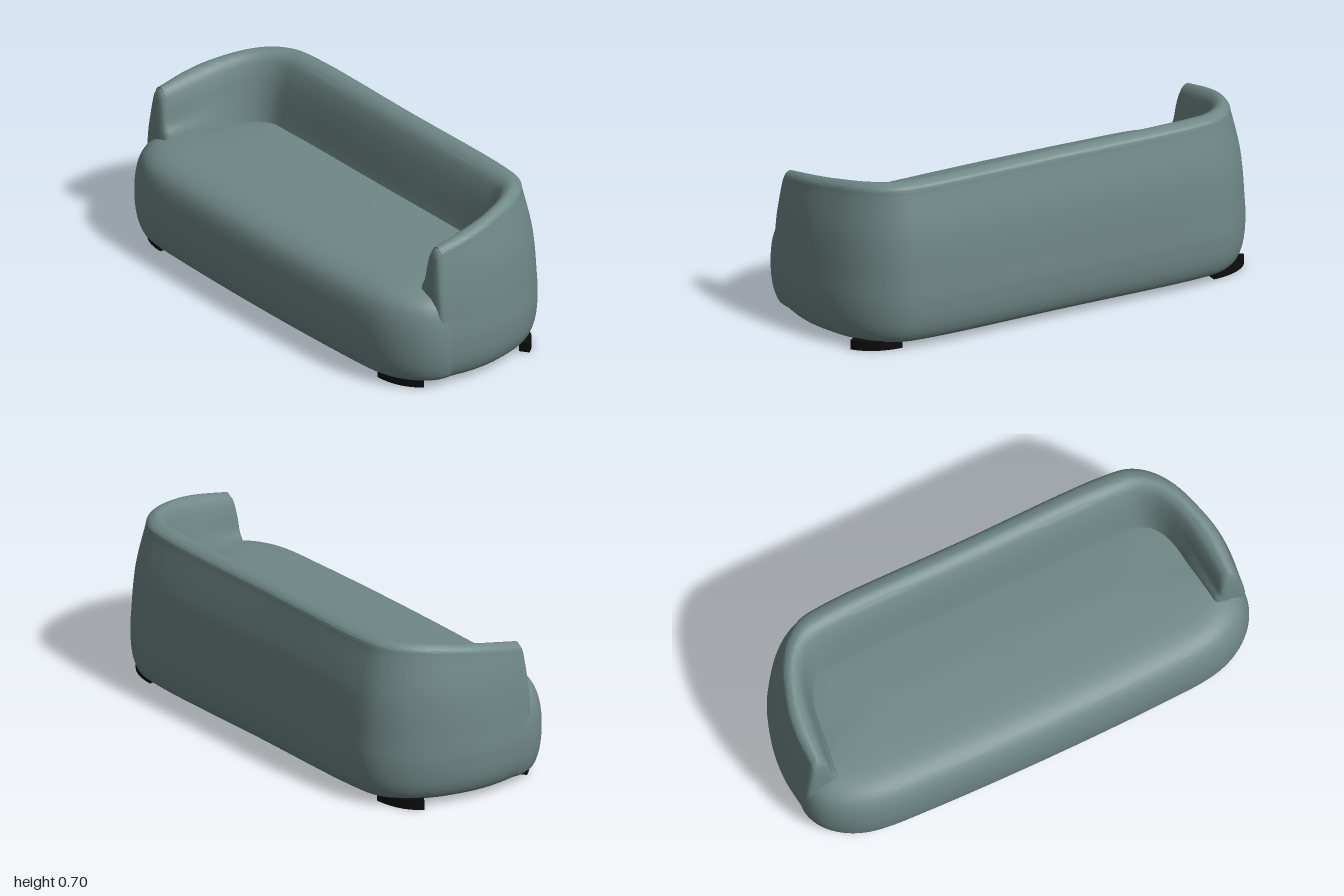
import * as THREE from 'three';
import { toCreasedNormals } from 'three/addons/utils/BufferGeometryUtils.js';

const V = (x, y, z) => new THREE.Vector3(x, y, z);
const spline = (points, closed = false) => new THREE.CatmullRomCurve3(points, closed, 'centripetal');

// Skins a list of closed rings that all have the same number of points.
function skin(rings) {
  const n = rings[0].length, index = [];
  for (let r = 0; r < rings.length - 1; r++) {
    for (let i = 0; i < n; i++) {
      const a = r * n + i, b = r * n + (i + 1) % n;
      const c = a + n, d = b + n;
      index.push(a, c, b, b, c, d);
    }
  }
  const geometry = new THREE.BufferGeometry().setFromPoints(rings.flat());
  geometry.setIndex(index);
  return toCreasedNormals(geometry, 0.75);
}

// Half of an outline, continued by its mirror image across x = 0.
const mirrored = (half) => [...half, ...half.slice(0, -1).reverse().map((p) => V(-p.x, p.y, p.z))];

// Seat: rounded outline, inset at each height towards a central spine.
function seatGeometry() {
  const front = mirrored([
    V(0.95, 0, 0.05), V(0.99, 0, 0.2), V(0.965, 0, 0.28), V(0.905, 0, 0.345),
    V(0.82, 0, 0.392), V(0.72, 0, 0.416), V(0.5, 0, 0.429), V(0, 0, 0.437),
  ]);
  const back = [V(-0.93, 0, -0.1), V(-0.8, 0, -0.35), V(-0.6, 0, -0.38),
    V(0.6, 0, -0.38), V(0.8, 0, -0.35), V(0.93, 0, -0.1)];
  const outline = spline([...front, ...back], true).getPoints(168).slice(0, -1);
  const spineOf = (p) => V(THREE.MathUtils.clamp(p.x, -0.55, 0.55), 0, 0);
  // profile: inset, height
  const profile = spline([
    [0.045, 0.035], [0.03, 0.047], [0.01, 0.1], [0, 0.2], [0.009, 0.3], [0.03, 0.355],
    [0.055, 0.381], [0.09, 0.399], [0.14, 0.411], [0.22, 0.418],
  ].map(([d, y]) => V(d, y, 0))).getPoints(36);
  const rings = profile.map(({ x: d, y }) => outline.map((p) => {
    const spine = spineOf(p), length = p.distanceTo(spine);
    return p.clone().lerp(spine, d / length).setY(y);
  }));
  const flat = (y) => outline.map((p) => spineOf(p).setY(y));
  return skin([flat(0.035), ...rings, flat(0.42)]);
}

// Backrest and arms: one section swept between an outer and an inner U.
function shellGeometry() {
  // outer U: x, top height, z
  const outer = spline(mirrored([
    V(0.987, 0.61, 0.205), V(1, 0.645, 0.05), V(0.985, 0.668, -0.08), V(0.93, 0.687, -0.24),
    V(0.85, 0.697, -0.35), V(0.75, 0.7, -0.415), V(0.62, 0.7, -0.435), V(0, 0.7, -0.435),
  ]));
  const inner = spline(mirrored([
    V(0.835, 0, 0.205), V(0.81, 0, 0.05), V(0.797, 0, -0.05), V(0.78, 0, -0.11),
    V(0.75, 0, -0.155), V(0.705, 0, -0.182), V(0.6, 0, -0.19), V(0, 0, -0.19),
  ]));

  const section = (t) => {
    const o = outer.getPoint(t), i = inner.getPoint(t);
    const h = o.y;
    o.y = i.y = 0;
    const width = o.distanceTo(i);
    const rim = 0.07 - (0.7 - h) * 0.3;
    const across = (f) => rim + (width - rim) * f;
    const points = spline([
      [0.045, 0.035], [0.03, 0.05], [0.01, 0.1], [0, 0.2], [0.005, 0.3], [0.012, 0.4],
      [0.025, 0.5], [rim - 0.007, h - 0.045], [rim, h - 0.018], [across(0.12), h - 0.004],
      [across(0.28), h], [across(0.5), h - 0.02], [across(0.66), h - 0.075],
      [across(0.78), h - 0.15], [across(0.92), 0.43], [width, 0.38],
    ].map(([d, y]) => V(d, y, 0))).getPoints(60);
    points.push(V(width, 0.035, 0));
    return points.map(({ x: d, y }) => o.clone().lerp(i, d / width).setY(y));
  };

  const steps = 140, rings = [];
  for (let k = 0; k <= steps; k++) rings.push(section(k / steps));

  // rounded front end of an arm
  const cap = (ring) => [[0.985, 0.01], [0.94, 0.02], [0.82, 0.027], [0.5, 0.03], [0, 0.03]].map(([s, out]) => {
    const centre = Math.sign(ring[0].x) * 0.91;
    return ring.map((p) => {
      const y = 0.35 + (p.y - 0.35) * s;
      return V(centre + (p.x - centre) * s, y, p.z + out - Math.max(y - 0.42, 0) * 0.06);
    });
  });
  return skin([...cap(rings[0]).reverse(), ...rings, ...cap(rings[steps])]);
}

// Foot: a short curved strip that follows the corner.
function footGeometry(sx, sz) {
  const shape = new THREE.Shape();
  shape.moveTo(sx * 0.72, sz * 0.355);
  shape.quadraticCurveTo(sx * 0.85, sz * 0.35, sx * 0.91, sz * 0.265);
  shape.lineTo(sx * 0.875, sz * 0.24);
  shape.quadraticCurveTo(sx * 0.82, sz * 0.305, sx * 0.72, sz * 0.305);
  shape.closePath();
  return new THREE.ExtrudeGeometry(shape, { depth: 0.04, bevelEnabled: false, curveSegments: 10 })
    .rotateX(Math.PI / 2)
    .translate(0, 0.04, 0);
}

export function createModel() {
  const model = new THREE.Group();
  model.name = 'sofa';
  const fabric = new THREE.MeshStandardMaterial({ color: 0x6f8886 });
  const black = new THREE.MeshStandardMaterial({ color: 0x0c0c0c });
  const add = (name, geometry, material) => {
    const mesh = new THREE.Mesh(geometry, material);
    mesh.name = name;
    model.add(mesh);
  };

  add('seat', seatGeometry(), fabric);
  add('backrestAndArms', shellGeometry(), fabric);
  for (const sx of [1, -1]) {
    for (const sz of [1, -1]) {
      add(`${sz > 0 ? 'front' : 'back'}${sx > 0 ? 'Left' : 'Right'}Foot`, footGeometry(sx, sz), black);
    }
  }
  return model;
}
